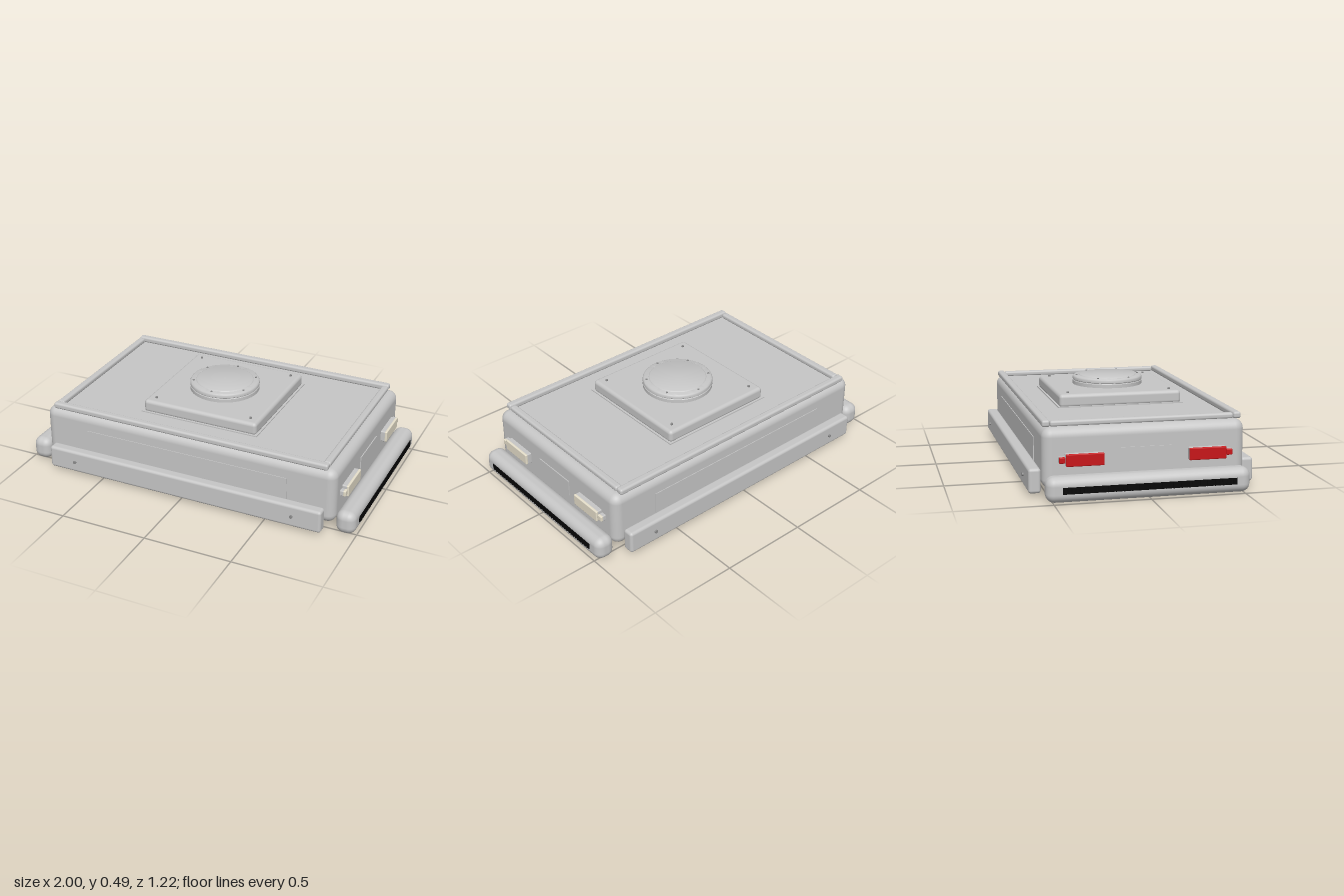
import * as THREE from 'three';
import { RoundedBoxGeometry } from 'three/addons/geometries/RoundedBoxGeometry.js';
import { toCreasedNormals } from 'three/addons/utils/BufferGeometryUtils.js';

export function createModel() {
  const group = new THREE.Group();
  const material = (name, color) => new THREE.MeshStandardMaterial({ name, color });
  const grey = material('bodyGrey', 0xc6c6c6);
  const black = material('rubberBlack', 0x050505);
  const steel = material('screwGrey', 0x8c8c8c);
  const cream = material('lensCream', 0xe6dfcb);
  const red = material('lensRed', 0xc81418);

  const add = (name, geometry, mat, x = 0, y = 0, z = 0) => {
    const mesh = new THREE.Mesh(geometry, mat);
    mesh.name = name;
    mesh.position.set(x, y, z);
    group.add(mesh);
    return mesh;
  };
  // Box given by its limits; r > 0 rounds the edges
  const block = (name, mat, [x0, x1], [y0, y1], [z0, z1], r = 0) => {
    const size = [x1 - x0, y1 - y0, z1 - z0];
    const geometry = r ? new RoundedBoxGeometry(...size, 4, r) : new THREE.BoxGeometry(...size);
    return add(name, geometry, mat, (x0 + x1) / 2, (y0 + y1) / 2, (z0 + z1) / 2);
  };
  // Limits a..b, mirrored when s is -1
  const span = (s, a, b) => (s > 0 ? [a, b] : [-b, -a]);

  // Main shell and underside
  block('body', grey, [-0.88, 0.88], [0.045, 0.365], [-0.535, 0.535], 0.05);
  block('undersidePlate', grey, [-0.83, 0.83], [0.042, 0.048], [-0.485, 0.485]);

  for (const s of [1, -1]) {
    // Long sides: skirt, bolts, access panel, top rail
    block('sideSkirt', grey, [-0.83, 0.83], [0.02, 0.15], span(s, 0.535, 0.6), 0.016);
    for (const x of [-0.665, 0.665]) {
      const bolt = add('skirtBolt', new THREE.CylinderGeometry(0.009, 0.009, 0.018, 12), steel, x, 0.085, s * 0.6);
      bolt.rotation.x = Math.PI / 2;
    }
    block('sidePanel', grey, [-0.61, 0.61], [0.1, 0.27], span(s, 0.53, 0.539));
    block('longRail', grey, [-0.83, 0.83], [0.362, 0.397], span(s, 0.486, 0.528), 0.012);

    // Short ends: rail, bumper with ribbed strip, plate
    block('endRail', grey, span(s, 0.79, 0.83), [0.362, 0.393], [-0.486, 0.486], 0.012);
    block('bumper', grey, span(s, 0.883, 0.994), [0.003, 0.135], [-0.535, 0.535], 0.045);
    block('bumperStrip', black, span(s, 0.985, 0.997), [0.053, 0.087], [-0.455, 0.455]);
    for (let i = 0; i < 45; i++) {
      const z = -0.44 + i * 0.02;
      block('stripRib', black, span(s, 0.996, 1), [0.053, 0.087], [z - 0.005, z + 0.005]);
    }
    block('endPlate', grey, span(s, 0.878, 0.885), [0.157, 0.252], [-0.134, 0.134]);

    // Lamps: cream on the right end, red on the left end
    const lens = s > 0 ? cream : red;
    for (const t of [1, -1]) {
      block('lampHousing', grey, span(s, 0.87, 0.908), [0.172, 0.236], span(t, 0.224, 0.422), 0.006);
      block('lampLens', lens, span(s, 0.902, 0.917), [0.172, 0.236], span(t, 0.224, 0.422), 0.005);
      block('markerHousing', grey, span(s, 0.87, 0.9), [0.189, 0.221], span(t, 0.424, 0.456), 0.005);
      block('markerLens', lens, span(s, 0.896, 0.912), [0.189, 0.221], span(t, 0.424, 0.456), 0.005);
    }
  }

  // Square mounting plate with corner screws
  block('plateGasket', grey, [-0.355, 0.355], [0.36, 0.371], [-0.355, 0.355]);
  block('mountingPlate', grey, [-0.345, 0.345], [0.362, 0.436], [-0.345, 0.345], 0.02);
  for (const x of [-0.29, 0.29])
    for (const z of [-0.29, 0.29])
      add('plateScrew', new THREE.CylinderGeometry(0.007, 0.007, 0.012, 12), steel, x, 0.438, z);

  // Round hub: grooved rim, raised cap, ring of bolts
  const profile = [
    [0.2, 0.43], [0.2, 0.456], [0.197, 0.459], [0.197, 0.461], [0.2, 0.464],
    [0.2, 0.476], [0.197, 0.482], [0.19, 0.486], [0.165, 0.486],
    [0.163, 0.489], [0.159, 0.491], [0, 0.491],
  ].map(([x, y]) => new THREE.Vector2(x, y));
  add('hub', toCreasedNormals(new THREE.LatheGeometry(profile, 64), 0.6), grey);
  for (let i = 0; i < 6; i++) {
    const a = Math.PI / 2 + (i * Math.PI) / 3;
    add('hubBolt', new THREE.CylinderGeometry(0.006, 0.006, 0.008, 12), steel,
      0.18 * Math.cos(a), 0.486, 0.18 * Math.sin(a));
  }
  return group;
}
